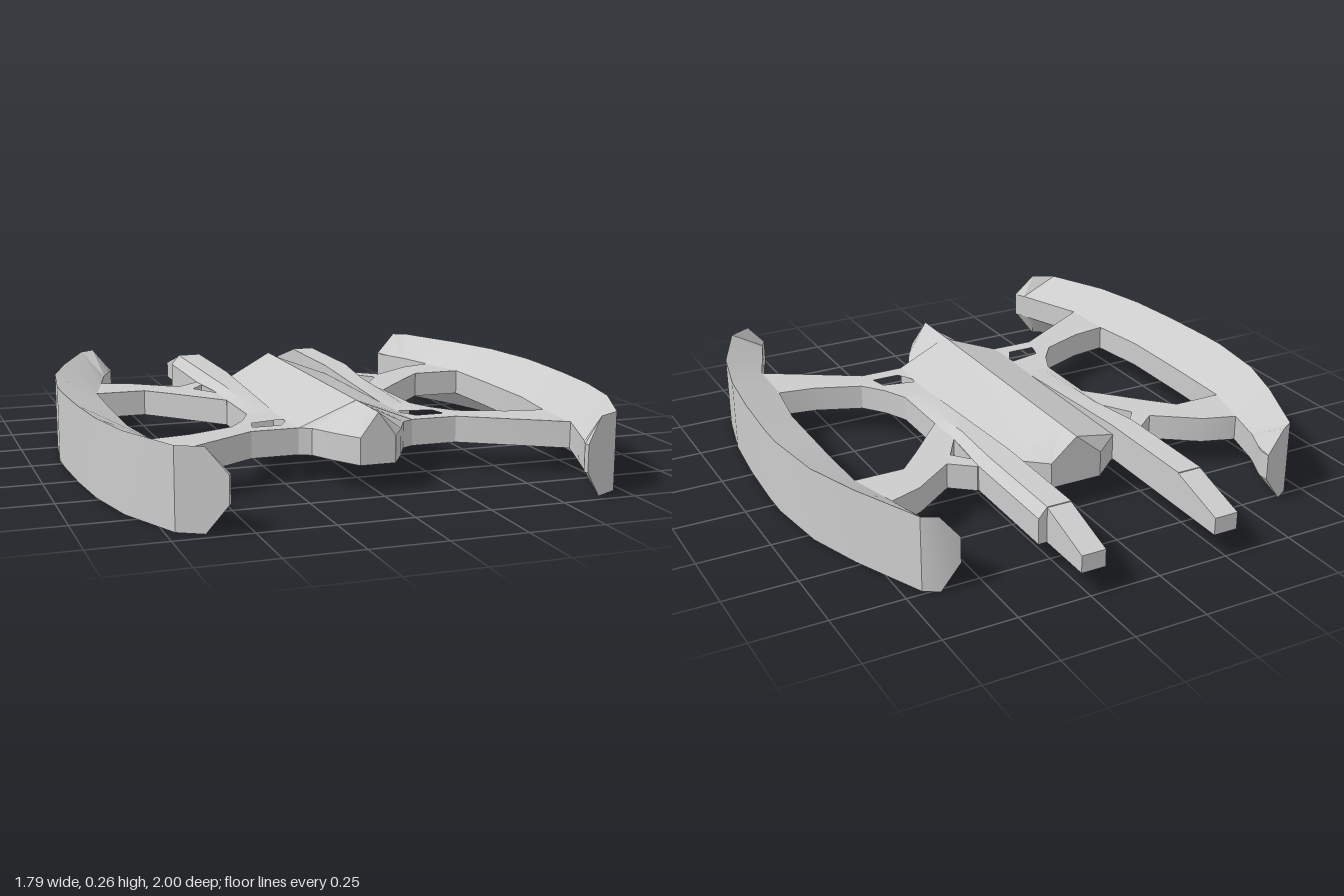
import * as THREE from 'three';
import { toCreasedNormals } from 'three/addons/utils/BufferGeometryUtils.js';

const LOW = 0.09, DECK = 0.18, PEAK = 0.26;

// Skin a list of rings (counter-clockwise seen from +z, ordered back to front) and cap both ends.
function loft(rings) {
  const pos = [];
  const tri = (...pts) => pts.forEach((p) => pos.push(...p));
  const n = rings[0].length;
  for (let i = 0; i < rings.length - 1; i++) {
    const A = rings[i], B = rings[i + 1];
    for (let j = 0; j < n; j++) {
      const k = (j + 1) % n;
      tri(A[j], A[k], B[k]);
      tri(A[j], B[k], B[j]);
    }
  }
  const back = rings[0], front = rings[rings.length - 1];
  for (let j = 1; j < n - 1; j++) {
    tri(back[0], back[j + 1], back[j]);
    tri(front[0], front[j], front[j + 1]);
  }
  const g = new THREE.BufferGeometry();
  g.setAttribute('position', new THREE.Float32BufferAttribute(pos, 3));
  return toCreasedNormals(g, 0.45);
}

// Flat plate from a top-view outline of [x, z] points, with one hole.
function plate(outline, hole) {
  const flat = (pts) => pts.map(([x, z]) => new THREE.Vector2(x, -z));
  const shape = new THREE.Shape(flat(outline));
  shape.holes.push(new THREE.Path(flat(hole)));
  const g = new THREE.ExtrudeGeometry(shape, { depth: DECK - LOW, bevelEnabled: false });
  g.rotateX(-Math.PI / 2).translate(0, LOW, 0);
  return toCreasedNormals(g, 0.45);
}

// Copy reflected in x, with the corner order turned round.
function mirrored(geo) {
  const g = geo.clone();
  for (const name of ['position', 'normal']) {
    const a = g.attributes[name], src = geo.attributes[name];
    for (let i = 0; i < a.count; i++) {
      const s = i % 3 === 0 ? i : i % 3 === 1 ? i + 1 : i - 1;
      a.setXYZ(i, -src.getX(s), src.getY(s), src.getZ(s));
    }
  }
  return g;
}

export function createModel() {
  const model = new THREE.Group();
  model.name = 'spacecraft';
  const material = new THREE.MeshStandardMaterial({ color: 0xcccccc });
  const add = (name, geo) => {
    const mesh = new THREE.Mesh(geo, material);
    mesh.name = name;
    model.add(mesh);
  };
  const addPair = (name, geo) => {
    add(name + 'Left', geo);
    add(name + 'Right', mirrored(geo));
  };

  // Hull: ridged roof over a flat belly; [z, half width]
  const hull = [[-0.485, 0.095], [-0.39, 0.205], [0.42, 0.205], [0.49, 0.2],
    [0.51, 0.16], [0.6, 0.115], [0.69, 0.06]];
  add('hull', loft(hull.map(([z, w]) => [
    [w, LOW, z], [w, DECK, z], [0, PEAK, z], [-w, DECK, z], [-w, LOW, z],
  ])));

  // Curved side blades: tall outer wall, thin inner edge; [outer x, z, inner x, z, is tip]
  const blade = [
    [0.575, -0.775, 0.575, -0.735, 1], [0.64, -0.765, 0.59, -0.7], [0.69, -0.735, 0.625, -0.62],
    [0.8, -0.48, 0.665, -0.47], [0.865, -0.285, 0.715, -0.285], [0.895, -0.05, 0.72, -0.05],
    [0.895, 0.05, 0.72, 0.05], [0.885, 0.27, 0.72, 0.27], [0.865, 0.48, 0.69, 0.49],
    [0.82, 0.69, 0.685, 0.69], [0.72, 0.92, 0.608, 0.9], [0.64, 0.965, 0.59, 0.95],
    [0.578, 1, 0.57, 0.99, 1],
  ];
  addPair('sideBlade', loft(blade.map(([xo, zo, xi, zi, tip]) => [
    [xo, tip ? LOW : 0, zo], [xo, tip ? DECK : PEAK, zo], [xi, DECK, zi], [xi, LOW, zi],
  ])));

  // Struts joining hull and blades
  addPair('frontStrut', plate(
    [[0.15, 0.23], [0.3, 0.23], [0.34, 0.32], [0.4, 0.4], [0.56, 0.465], [0.7, 0.488],
      [0.7, 0.695], [0.685, 0.69], [0.36, 0.488], [0.15, 0.488]],
    [[0.21, 0.345], [0.325, 0.37], [0.34, 0.43], [0.24, 0.43], [0.207, 0.37]]));
  addPair('rearStrut', plate(
    [[0.69, -0.475], [0.665, -0.47], [0.55, -0.43], [0.4, -0.32], [0.32, -0.385], [0.25, -0.385],
      [0.25, -0.02], [0.3, -0.02], [0.46, -0.2], [0.54, -0.285], [0.73, -0.285]],
    [[0.36, -0.265], [0.312, -0.325], [0.297, -0.165]]));

  // Rails beside the hull, sinking into the deck towards the front; [z, outer x, top]
  const rail = [[-0.79, 0.315, 0.215], [-0.385, 0.315, 0.215], [-0.16, 0.295, 0.202],
    [0, 0.3, 0.193], [0.23, 0.3, DECK]];
  addPair('rail', loft(rail.map(([z, x, h]) => [
    [0.2, LOW, z], [x, LOW, z], [x, DECK, z], [x - 0.03, h, z], [0.2, h, z],
  ])));

  // Barrels tapering out of the back of the rails; [z, top]
  addPair('barrel', loft([[-1, 0.15], [-0.78, 0.215]].map(([z, h]) => [
    [0.2, LOW, z], [0.285, LOW, z], [0.285, h, z], [0.2, h, z],
  ])));

  return model;
}
